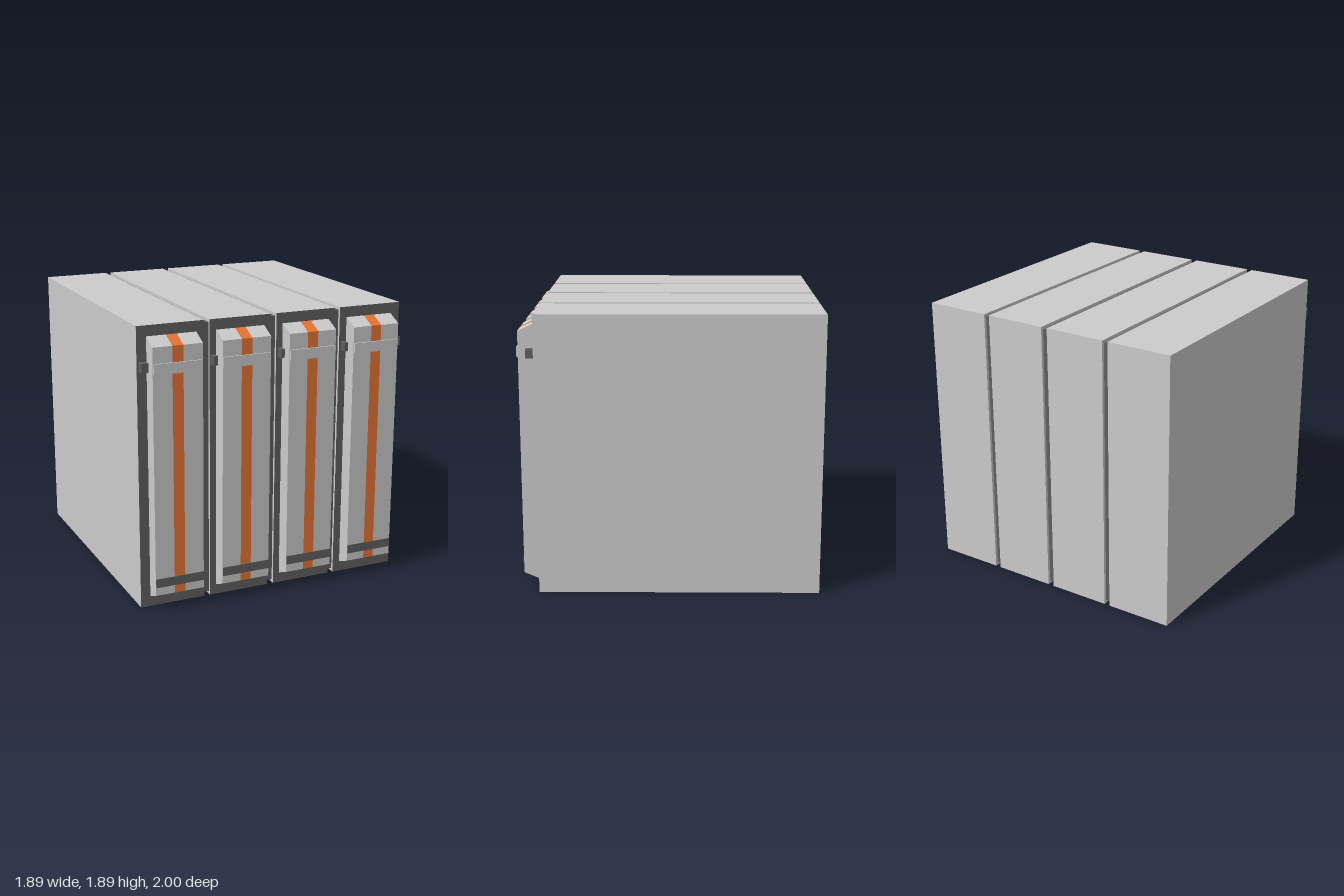
import * as THREE from 'three';

const material = (color) => new THREE.MeshStandardMaterial({ color, flatShading: true });

export function createModel() {
  const model = new THREE.Group();
  const grey = material(0xcccccc);
  const dark = material(0x606060);
  const orange = material(0xe87433);

  // Box given by its min and max along each axis
  function addBox(parent, name, mat, [x0, x1], [y0, y1], [z0, z1]) {
    const mesh = new THREE.Mesh(new THREE.BoxGeometry(x1 - x0, y1 - y0, z1 - z0), mat);
    mesh.position.set((x0 + x1) / 2, (y0 + y1) / 2, (z0 + z1) / 2);
    mesh.name = name;
    parent.add(mesh);
  }

  // Door slice: side profile with sloped top and bottom, extruded along x
  const profile = new THREE.Shape([
    [-0.885, 0.07], [-0.885, 1.82], [-0.99, 1.77], [-0.99, 0.115],
  ].map(([a, b]) => new THREE.Vector2(a, b)));
  function addDoorSlice(parent, name, mat, x0, x1) {
    const geo = new THREE.ExtrudeGeometry(profile, { depth: x1 - x0, bevelEnabled: false });
    geo.rotateY(Math.PI / 2); // shape x becomes -z, depth becomes +x
    const mesh = new THREE.Mesh(geo, mat);
    mesh.position.x = x0;
    mesh.name = name;
    parent.add(mesh);
  }

  // Four cabinets; each: body span, door centre, clip spans
  const outer = { body: [0.49, 0.945], door: 0.71, clips: [[0.505, 0.53], [0.885, 0.932]] };
  const inner = { body: [0.022, 0.45], door: 0.236, clips: [[0.035, 0.06], [0.415, 0.443]] };
  const flip = ([a, b], s) => (s > 0 ? [a, b] : [-b, -a]);

  for (const side of [-1, 1]) {
    for (const unit of [inner, outer]) {
      const cabinet = new THREE.Group();
      cabinet.name = 'cabinet';
      const body = flip(unit.body, side);
      const c = unit.door * side;

      addBox(cabinet, 'body', grey, body, [0, 1.89], [-1, 0.884]);

      // Dark front face
      const face = new THREE.Mesh(new THREE.PlaneGeometry(body[1] - body[0], 1.89), dark);
      face.position.set((body[0] + body[1]) / 2, 0.945, 0.885);
      face.name = 'frontFace';
      cabinet.add(face);

      // Door with coloured centre stripe
      addDoorSlice(cabinet, 'doorLeft', grey, c + 0.037, c + 0.169);
      addDoorSlice(cabinet, 'doorStripe', orange, c - 0.037, c + 0.037);
      addDoorSlice(cabinet, 'doorRight', grey, c - 0.169, c - 0.037);

      // Upper strap, lower band and side clips
      addBox(cabinet, 'strap', grey, [c - 0.165, c + 0.165], [1.595, 1.665], [0.98, 1]);
      addBox(cabinet, 'lowerBand', dark, [c - 0.167, c + 0.167], [0.17, 0.23], [0.98, 0.994]);
      for (const clip of unit.clips) {
        addBox(cabinet, 'clip', dark, flip(clip, side), [1.6, 1.66], [0.885, 0.935]);
      }
      model.add(cabinet);
    }
  }

  // Recessed spacers between cabinets
  for (const [x0, x1] of [[-0.49, -0.45], [-0.022, 0.022], [0.45, 0.49]]) {
    addBox(model, 'spacer', dark, [x0, x1], [0.02, 1.87], [-0.98, 0.865]);
  }
  return model;
}
